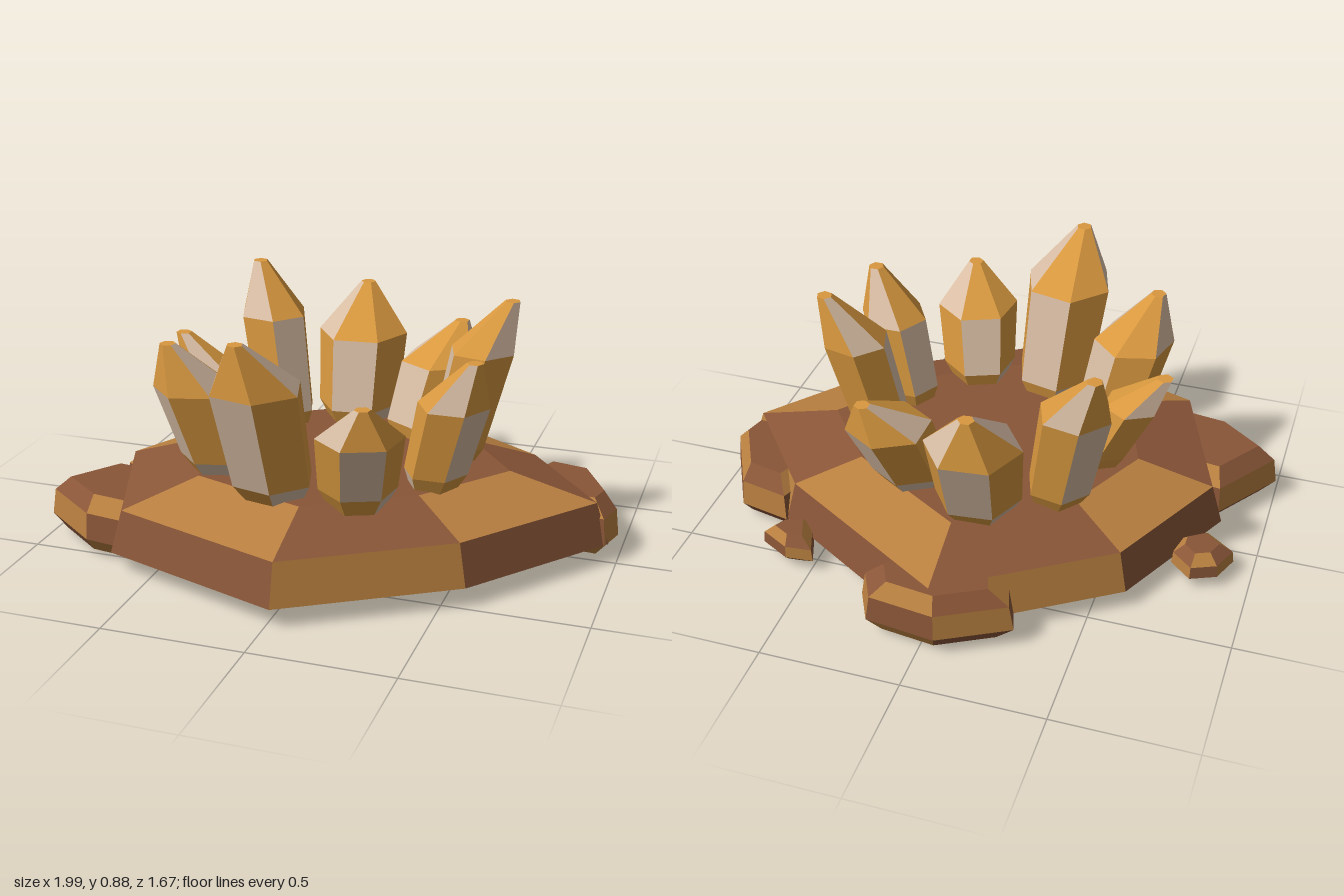
import * as THREE from 'three';

const material = (color) => new THREE.MeshStandardMaterial({ color, flatShading: true });

// Skin a stack of equal-length rings (bottom to top, counterclockwise from above).
// pick(side, level) chooses which material each facet gets.
function facetedLoft(name, rings, materials, pick) {
  const buckets = materials.map(() => []);
  const n = rings[0].length;
  const tri = (m, ...points) => points.forEach((p) => buckets[m].push(...p));
  for (let level = 0; level < rings.length - 1; level++) {
    const low = rings[level], high = rings[level + 1];
    for (let i = 0; i < n; i++) {
      const j = (i + 1) % n, m = pick(i, level);
      tri(m, low[i], low[j], high[j]);
      tri(m, low[i], high[j], high[i]);
    }
  }
  // End caps
  const bottom = rings[0], top = rings[rings.length - 1];
  for (let i = 1; i < n - 1; i++) {
    tri(0, bottom[0], bottom[i + 1], bottom[i]);
    tri(0, top[0], top[i], top[i + 1]);
  }
  const group = new THREE.Group();
  group.name = name;
  buckets.forEach((positions, m) => {
    const geometry = new THREE.BufferGeometry();
    geometry.setAttribute('position', new THREE.Float32BufferAttribute(positions, 3));
    geometry.computeVertexNormals();
    const mesh = new THREE.Mesh(geometry, materials[m]);
    mesh.name = `${name}Facets${m + 1}`;
    group.add(mesh);
  });
  return group;
}

// A rock is one plan outline scaled about a centre at several heights: [y, scale].
function rock(name, outline, levels, materials, centre) {
  const [cx, cz] = centre ?? [0, 1].map((k) => outline.reduce((s, p) => s + p[k], 0) / outline.length);
  const rings = levels.map(([y, s]) => outline.map(([x, z]) => [cx + (x - cx) * s, y, cz + (z - cz) * s]));
  return facetedLoft(name, rings, materials, (i, level) => (i + level) % 2);
}

// A six-sided crystal leaning from its foot towards its tip, with level rings.
function crystal(name, [footX, footZ, tipX, tipZ, height, radius], materials) {
  const heading = Math.atan2(tipX - footX, tipZ - footZ);
  const shoulder = height - (height > 0.8 ? 0.18 : height > 0.7 ? 0.17 : 0.13);
  // [y, share of the lean, ring radius]
  const levels = [
    [0.28, 0, radius * 0.65],
    [0.35, 0.08, radius * 0.9],
    [shoulder, 0.5, radius],
    [height, 1, 0.028],
  ];
  const rings = levels.map(([y, lean, r]) => Array.from({ length: 6 }, (_, i) => {
    const a = heading + (i + 0.5) * Math.PI / 3;
    return [footX + (tipX - footX) * lean + r * Math.sin(a), y, footZ + (tipZ - footZ) * lean + r * Math.cos(a)];
  }));
  return facetedLoft(name, rings, materials, (i, level) => ((i + level) % 3 === 0 ? 1 : 0));
}

export function createModel() {
  const model = new THREE.Group();
  model.name = 'crystalCluster';
  const stone = [material(0x8a5638), material(0xb98040)];
  const gem = [material(0xd8983f), material(0xd8bda4)];

  // Main slab
  model.add(rock('baseSlab', [
    [0.02, 0.835], [0.58, 0.49], [0.97, 0], [0.66, -0.39],
    [-0.02, -0.8], [-0.61, -0.41], [-0.85, 0.07], [-0.65, 0.61],
  ], [[0, 0.7], [0.07, 1], [0.22, 0.95], [0.3, 0.63]], stone, [0, 0]));

  // Chunks set into the rim
  const chunkLevels = [[0.015, 0.78], [0.07, 1], [0.165, 0.94], [0.22, 0.68]];
  const chunks = {
    rightChunk: [[-1, 0.37], [-0.78, 0.54], [-0.58, 0.57], [-0.6, 0.15], [-0.83, 0.12]],
    backChunk: [[0.25, -0.69], [0.19, -0.81], [-0.06, -0.84], [-0.3, -0.71], [-0.25, -0.55], [0.1, -0.5]],
    leftChunk: [[0.96, 0.02], [0.99, -0.09], [0.85, -0.36], [0.66, -0.4], [0.6, -0.25], [0.7, 0]],
  };
  for (const [name, outline] of Object.entries(chunks)) model.add(rock(name, outline, chunkLevels, stone));

  // Small pebbles beside the slab
  const pebbleLevels = [[0.015, 0.6], [0.045, 1], [0.09, 0.95], [0.125, 0.55]];
  const pebbles = {
    leftPebble: [[0.66, -0.44], [0.7, -0.51], [0.59, -0.57], [0.49, -0.56], [0.55, -0.4]],
    rightPebble: [[-0.82, -0.03], [-0.72, -0.1], [-0.72, -0.18], [-0.8, -0.25], [-0.89, -0.21], [-0.93, -0.11]],
  };
  for (const [name, outline] of Object.entries(pebbles)) model.add(rock(name, outline, pebbleLevels, stone));

  // Ring of crystals: foot x, foot z, tip x, tip z, height, radius
  [
    [-0.07, -0.37, -0.09, -0.56, 0.78, 0.17],
    [0.2, -0.28, 0.31, -0.46, 0.69, 0.15],
    [-0.31, -0.24, -0.46, -0.37, 0.88, 0.13],
    [-0.4, 0.01, -0.62, 0, 0.69, 0.105],
    [0.38, -0.07, 0.57, -0.13, 0.88, 0.12],
    [0.38, 0.19, 0.54, 0.28, 0.78, 0.125],
    [0.18, 0.41, 0.25, 0.58, 0.69, 0.15],
    [-0.11, 0.42, -0.16, 0.63, 0.88, 0.165],
    [-0.37, 0.27, -0.5, 0.4, 0.78, 0.145],
  ].forEach((spec, i) => model.add(crystal(`crystal${i + 1}`, spec, gem)));

  return model;
}
